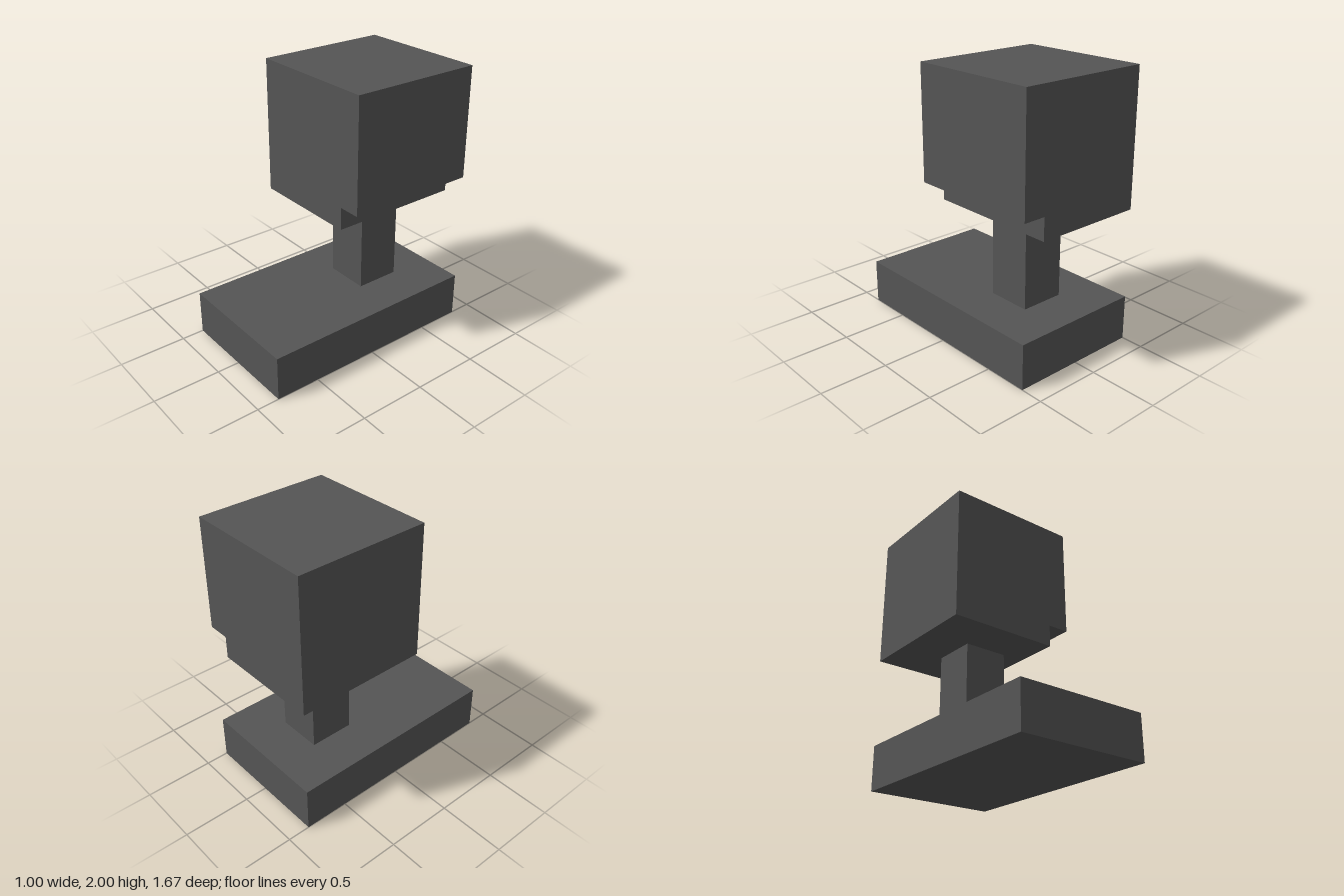
import * as THREE from 'three';

export function createModel() {
  const model = new THREE.Group();
  const darkGrey = new THREE.MeshStandardMaterial({ color: 0x555555 });
  darkGrey.name = 'darkGrey';

  const addPart = (name, geometry, x, y, z) => {
    const mesh = new THREE.Mesh(geometry, darkGrey);
    mesh.name = name;
    mesh.position.set(x, y, z);
    model.add(mesh);
  };

  const u = 1 / 6; // sizing unit

  // Base slab and square post
  addPart('base', new THREE.BoxGeometry(6 * u, 2 * u, 10 * u), 0, u, 0);
  addPart('post', new THREE.BoxGeometry(2 * u, 4 * u, 2 * u), 0, 4 * u, -2 * u);

  // Head block with a step cut along its lower left edge
  const profile = new THREE.Shape([
    [-3, 0], [2, 0], [2, 1], [3, 1], [3, 6], [-3, 6],
  ].map(([x, y]) => new THREE.Vector2(x * u, y * u)));
  const head = new THREE.ExtrudeGeometry(profile, { depth: 6 * u, bevelEnabled: false });
  addPart('head', head, 0, 6 * u, -5 * u);

  return model;
}
